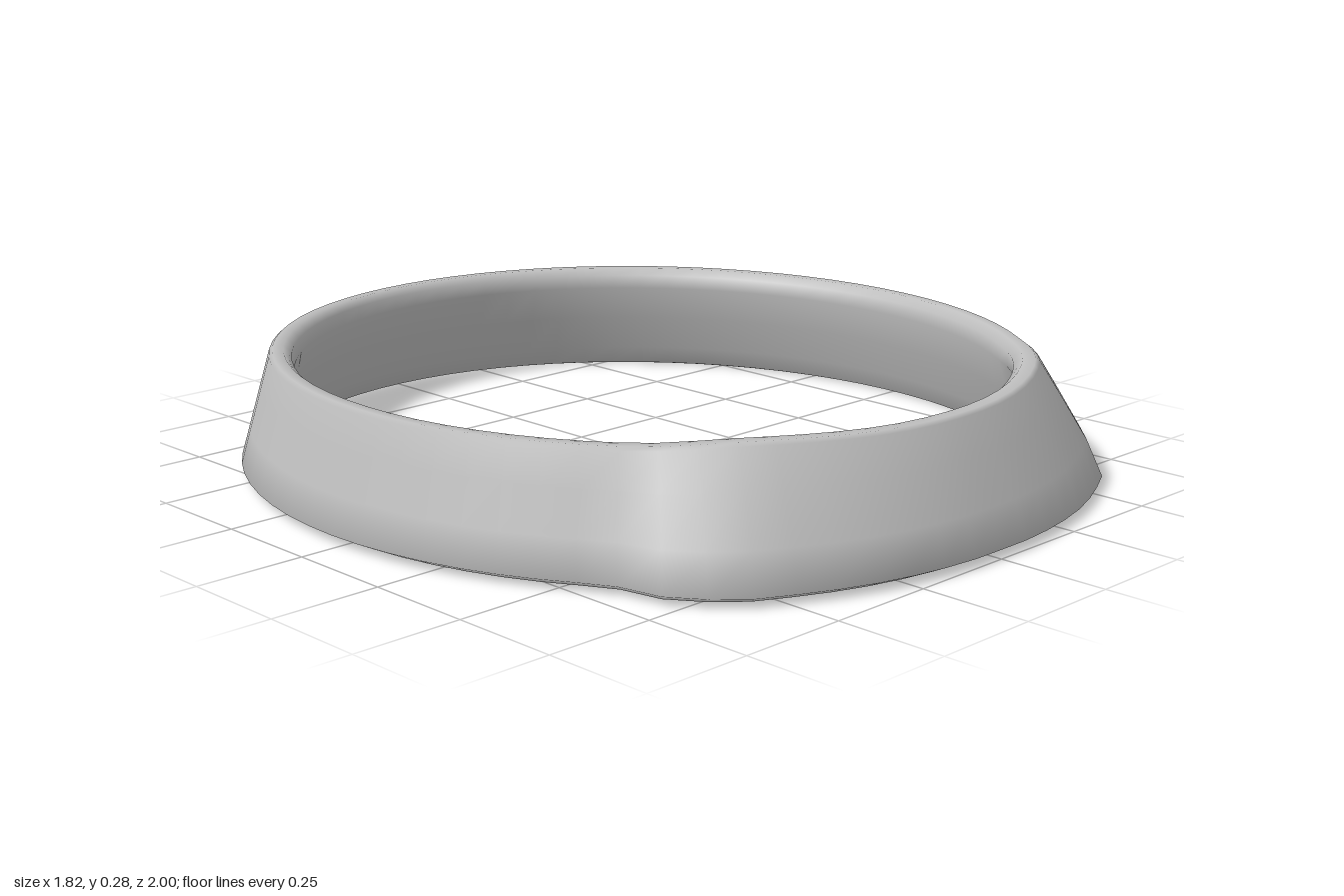
import * as THREE from 'three';

const SEGMENTS = 72;

// Wall section: [half width, half depth, height, share of the front bulge]
const SECTION = [
  [0.87, 0.94, 0.0, 1],
  [0.91, 0.98, 0.02, 1],
  [0.888, 0.955, 0.1, 0.85],
  [0.862, 0.925, 0.195, 0.45],
  [0.842, 0.902, 0.268, 0.1],
  [0.834, 0.894, 0.275, 0.08],
  [0.808, 0.87, 0.275, 0.03],
  [0.79, 0.853, 0.258, 0],
  [0.785, 0.85, 0.225, 0.08],
  [0.805, 0.872, 0.14, 0.5],
  [0.84, 0.905, 0.05, 0.9],
  [0.857, 0.925, 0.004, 1],
];

// Front bulge: [degrees from the front, outward growth]
const BULGE = [[0, 0.041], [12, 0.049], [29, 0.071], [37, 0.089], [45, 0.062], [51, 0], [181, 0]];

function bulgeAt(deg) {
  const i = BULGE.findIndex((b) => b[0] > deg);
  const [a, from] = BULGE[i - 1];
  const [b, to] = BULGE[i];
  return THREE.MathUtils.lerp(from, to, (deg - a) / (b - a));
}

export function createModel() {
  const grey = new THREE.MeshStandardMaterial({ color: 0xbfbfbf });
  grey.name = 'plain grey';

  // Closed loop of wall sections swept around an oval
  const positions = [];
  const index = [];
  const n = SECTION.length;
  for (let i = 0; i < SEGMENTS; i++) {
    const u = (i / SEGMENTS) * Math.PI * 2;
    const deg = (Math.min(i, SEGMENTS - i) / SEGMENTS) * 360;
    const bulge = bulgeAt(deg);
    // The rim rises slightly over the bulge
    const lift = 0.01 * (1 - THREE.MathUtils.smoothstep(deg, 33, 50)) *
      (0.5 + 0.5 * THREE.MathUtils.smoothstep(deg, 8, 32));
    SECTION.forEach(([a, b, y, share], j) => {
      const grow = 1 + bulge * share;
      positions.push(a * grow * Math.sin(u), y + lift * (y / 0.275), b * grow * Math.cos(u) - 0.02);
      const i2 = (i + 1) % SEGMENTS;
      const j2 = (j + 1) % n;
      const p = i * n + j, q = i2 * n + j, r = i2 * n + j2, s = i * n + j2;
      index.push(p, q, r, p, r, s);
    });
  }
  const geometry = new THREE.BufferGeometry();
  geometry.setAttribute('position', new THREE.Float32BufferAttribute(positions, 3));
  geometry.setIndex(index);
  geometry.computeVertexNormals();

  const band = new THREE.Mesh(geometry, grey);
  band.name = 'ovalBand';
  const group = new THREE.Group();
  group.name = 'flaredOvalRing';
  group.add(band);
  return group;
}
